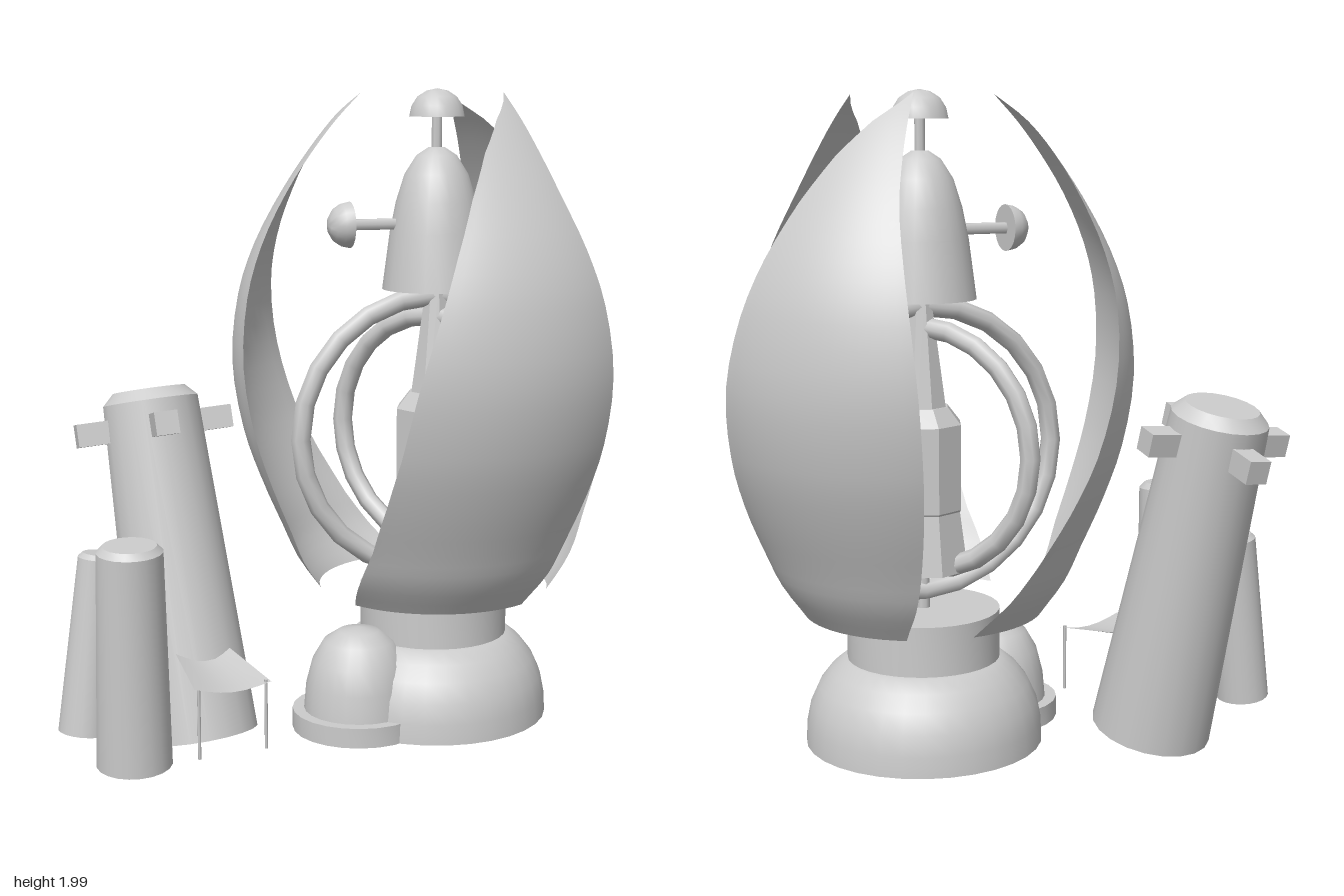
import * as THREE from 'three';
import { toCreasedNormals } from 'three/addons/utils/BufferGeometryUtils.js';

const material = new THREE.MeshStandardMaterial({ color: 0xcccccc, side: THREE.DoubleSide });
const UP = new THREE.Vector3(0, 1, 0);
const V = (x, y, z) => new THREE.Vector3(x, y, z);

function add(parent, name, geometry, x = 0, y = 0, z = 0) {
  const mesh = new THREE.Mesh(geometry, material);
  mesh.name = name;
  mesh.position.set(x, y, z);
  parent.add(mesh);
  return mesh;
}

function lathe(points, sides = 32, crease = 0.55) {
  const profile = points.map(([r, y]) => new THREE.Vector2(r, y));
  return toCreasedNormals(new THREE.LatheGeometry(profile, sides), crease);
}

// group whose y axis runs from base towards top
function leaningGroup(name, base, top) {
  const group = new THREE.Group();
  group.name = name;
  group.position.copy(base);
  group.quaternion.setFromUnitVectors(UP, top.clone().sub(base).normalize());
  return group;
}

// tapered tower, open below, bevelled on top
function tower(name, base, top, r0, r1, bevel) {
  const group = leaningGroup(name, base, top);
  const h = base.distanceTo(top);
  add(group, name + 'Body', lathe([
    [r0, 0], [r1, h - bevel], [r1 - bevel, h], [0, h],
  ], 20));
  return group;
}

// one curved shell: radius and both edge angles vary with height
function petalGeometry() {
  const rows = [ // y, radius, first edge, second edge (degrees)
    [0.5, 0.35, 61, 150], [0.6, 0.42, 56, 139], [0.7, 0.465, 54, 131], [0.85, 0.53, 53, 123.5],
    [1.0, 0.58, 53, 118], [1.2, 0.61, 54, 113], [1.4, 0.59, 56, 107.5], [1.55, 0.54, 58, 103],
    [1.7, 0.46, 60, 97], [1.82, 0.38, 60, 89], [1.91, 0.31, 59, 77], [1.985, 0.24, 57, 57.5],
  ];
  const curve = new THREE.CatmullRomCurve3(rows.map(r => V(r[0], r[1], 0)));
  const edges = new THREE.CatmullRomCurve3(rows.map(r => V(r[2], r[3], 0)));
  const nu = 16, nv = 33;
  const geometry = new THREE.PlaneGeometry(1, 1, nu, nv);
  const pos = geometry.attributes.position;
  for (let i = 0; i < pos.count; i++) {
    const u = pos.getX(i) + 0.5, v = pos.getY(i) + 0.5;
    const p = curve.getPoint(v), e = edges.getPoint(v);
    const a = THREE.MathUtils.degToRad(e.y + (e.x - e.y) * u);
    pos.setXYZ(i, p.y * Math.cos(a), p.x, p.y * Math.sin(a));
  }
  geometry.computeVertexNormals();
  return geometry;
}

// cloth awning with a sagging middle
function awning() {
  const group = new THREE.Group();
  group.name = 'awning';
  const back = [V(-0.54, 0.345, -0.03), V(-0.37, 0.34, -0.045)];
  const front = [V(-0.535, 0.315, 0.23), V(-0.3, 0.305, 0.19)];
  const geometry = new THREE.PlaneGeometry(1, 1, 6, 6);
  const pos = geometry.attributes.position;
  for (let i = 0; i < pos.count; i++) {
    const u = pos.getX(i) + 0.5, v = pos.getY(i) + 0.5;
    const p = front[0].clone().lerp(front[1], u).lerp(back[0].clone().lerp(back[1], u), v);
    pos.setXYZ(i, p.x, p.y - 0.02 * Math.sin(Math.PI * u), p.z);
  }
  geometry.computeVertexNormals();
  add(group, 'awningCloth', geometry);
  for (const [x, z] of [[-0.52, 0.215], [-0.315, 0.185]]) {
    add(group, 'awningPole', new THREE.CylinderGeometry(0.005, 0.005, 0.21, 6), x, 0.205, z);
  }
  return group;
}

export function createModel() {
  const model = new THREE.Group();
  model.name = 'flowerTower';

  // main building, built around its own axis
  const main = new THREE.Group();
  main.name = 'mainBuilding';
  main.position.set(0.27, 0, -0.025);
  model.add(main);
  add(main, 'baseDome', lathe([
    [0.35, 0.1], [0.347, 0.16], [0.335, 0.22], [0.31, 0.275], [0.275, 0.32], [0.235, 0.352], [0.22, 0.355],
  ], 32));
  add(main, 'neck', lathe([[0.225, 0.345], [0.225, 0.5], [0, 0.5]], 32));

  // three opening petals
  const petal = petalGeometry();
  for (let i = 0; i < 3; i++) {
    add(main, 'petal', petal).rotation.y = i * Math.PI * 2 / 3;
  }

  // inner column, chamber and crossed rings
  add(main, 'columnFoot', new THREE.CylinderGeometry(0.02, 0.02, 0.2, 8), 0, 0.55, 0);
  add(main, 'column', toCreasedNormals(new THREE.CylinderGeometry(0.03, 0.14, 0.8, 8), 0.5), 0, 1.02, 0);
  add(main, 'chamber', lathe([
    [0, 0.77], [0.1, 0.77], [0.12, 0.8], [0.12, 1.05], [0.08, 1.1], [0, 1.1],
  ], 8, 0.3));
  add(main, 'outerRing', new THREE.TorusGeometry(0.42, 0.03, 8, 24), 0, 0.97, 0);
  add(main, 'innerRing', new THREE.TorusGeometry(0.355, 0.03, 8, 24), 0, 0.975, 0)
    .rotation.y = -Math.atan2(0.31, 0.22);

  // bell-shaped head with a cap and two side knobs
  add(main, 'head', lathe([
    [0, 1.41], [0.16, 1.41], [0.138, 1.58], [0.12, 1.67], [0.095, 1.75], [0.06, 1.805], [0.025, 1.828], [0, 1.83],
  ], 24));
  const dome = r => lathe([[0, 0], [r, 0], [r * 0.92, r * 0.38], [r * 0.71, r * 0.71], [r * 0.38, r * 0.92], [0, r]], 20);
  add(main, 'capStem', new THREE.CylinderGeometry(0.016, 0.016, 0.12, 8), 0, 1.87, 0);
  add(main, 'cap', dome(0.082), 0, 1.917, 0);
  for (const s of [-1, 1]) {
    add(main, 'knobArm', new THREE.CylinderGeometry(0.018, 0.018, 0.2, 6), s * 0.18, 1.605, 0).rotation.z = Math.PI / 2;
    add(main, 'knob', dome(0.068), s * 0.268, 1.605, 0).rotation.z = -s * Math.PI / 2;
  }

  // annex dome on a low rim
  add(model, 'annexDome', lathe([
    [0.2, 0.1], [0.2, 0.16], [0.165, 0.16], [0.158, 0.24], [0.14, 0.31], [0.105, 0.37], [0.06, 0.4], [0, 0.41],
  ], 24), 0, 0, 0.075);

  // large leaning tower with four blocks near the top
  const tall = tower('tallTower', V(-0.455, 0.05, -0.125), V(-0.545, 1.09, -0.355), 0.185, 0.147, 0.035);
  for (let i = 0; i < 4; i++) {
    const a = i * Math.PI / 2;
    add(tall, 'towerBlock', new THREE.BoxGeometry(0.11, 0.07, 0.07), 0.185 * Math.cos(a), 0.955, -0.185 * Math.sin(a))
      .rotation.y = a;
  }
  model.add(tall);

  // two smaller towers
  model.add(tower('frontTower', V(-0.7, 0.09, 0.165), V(-0.707, 0.745, 0.205), 0.11, 0.095, 0.018));
  model.add(tower('backTower', V(-0.8, 0.1, -0.115), V(-0.74, 0.64, -0.14), 0.083, 0.065, 0.014));

  model.add(awning());
  return model;
}
